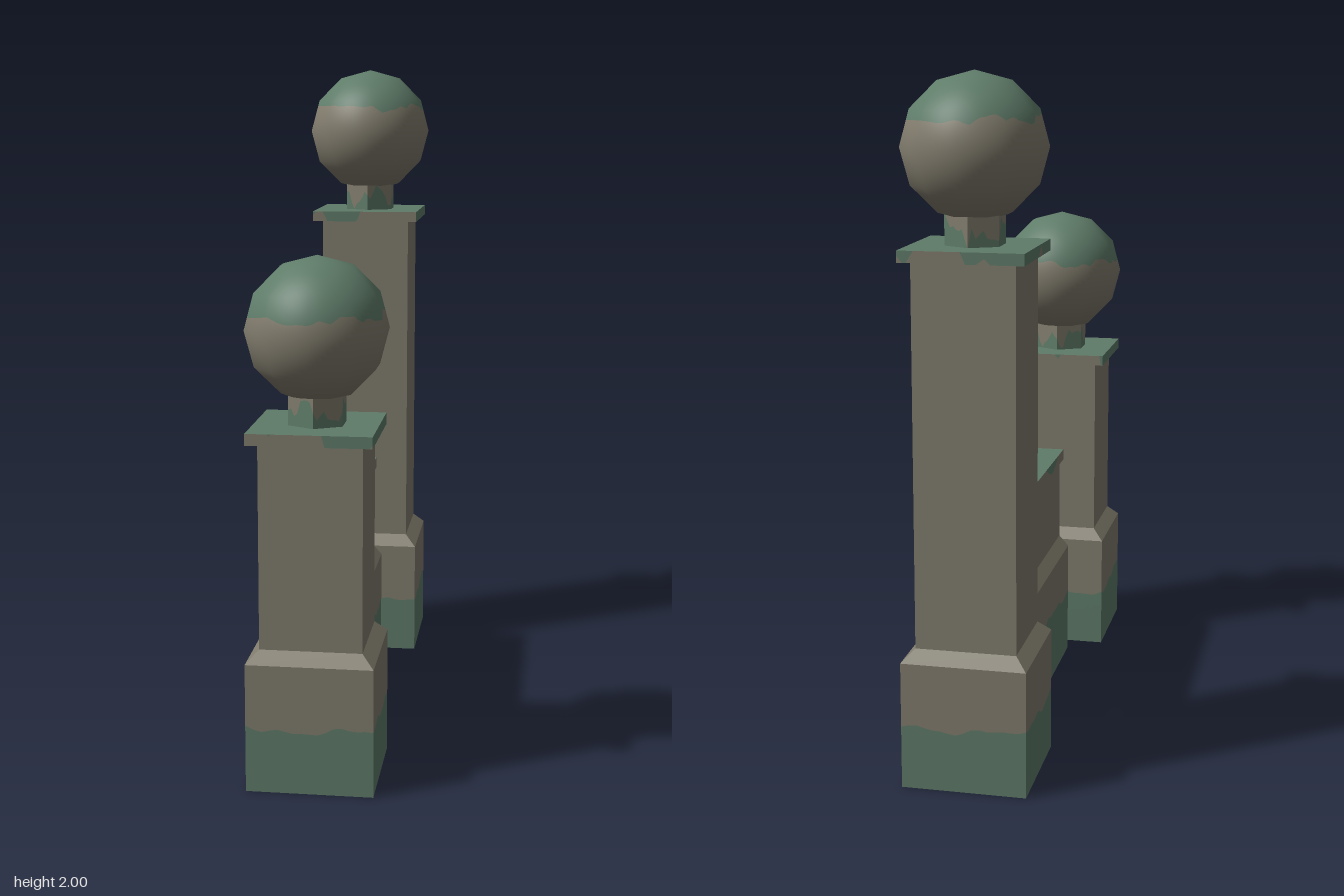
import * as THREE from 'three';

const stone = new THREE.MeshStandardMaterial({ name: 'stone', color: 0x817c6d });
const moss = new THREE.MeshStandardMaterial({ name: 'moss', color: 0x5f7c69 });

// Uneven edge for the moss
const wave = (t) => 0.5 * Math.sin(t * 17 + 1) + 0.3 * Math.sin(t * 41) + 0.2 * Math.sin(t * 73 + 2);

const mid = (a, b, t = 0.5) => ({ p: a.p.clone().lerp(b.p, t), n: a.n.clone().lerp(b.n, t).normalize() });

// Cuts every triangle where field(p, n) changes sign: positive is moss, negative is stone
function mossyMesh(name, geometry, field, levels = 3) {
  const g = geometry.index ? geometry.toNonIndexed() : geometry;
  const P = g.attributes.position, N = g.attributes.normal;
  const out = [[], []];
  const emit = (poly, side) => {
    for (let i = 1; i + 1 < poly.length; i++) out[side].push(poly[0], poly[i], poly[i + 1]);
  };
  const cut = (tri) => {
    const d = tri.map((v) => field(v.p, v.n));
    const polys = [[], []];
    tri.forEach((v, i) => {
      const j = (i + 1) % 3;
      polys[d[i] > 0 ? 1 : 0].push(v);
      if (d[i] > 0 !== d[j] > 0) {
        const c = mid(v, tri[j], d[i] / (d[i] - d[j]));
        polys[0].push(c);
        polys[1].push(c);
      }
    });
    polys.forEach(emit);
  };
  const divide = (a, b, c, level) => {
    if (level === 0) return cut([a, b, c]);
    const ab = mid(a, b), bc = mid(b, c), ca = mid(c, a);
    [[a, ab, ca], [ab, b, bc], [ca, bc, c], [ab, bc, ca]].forEach((t) => divide(...t, level - 1));
  };
  const vertex = (i) => ({
    p: new THREE.Vector3().fromBufferAttribute(P, i),
    n: new THREE.Vector3().fromBufferAttribute(N, i),
  });
  for (let i = 0; i < P.count; i += 3) divide(vertex(i), vertex(i + 1), vertex(i + 2), levels);

  const all = [...out[0], ...out[1]];
  const result = new THREE.BufferGeometry();
  result.setAttribute('position', new THREE.Float32BufferAttribute(all.flatMap((v) => v.p.toArray()), 3));
  result.setAttribute('normal', new THREE.Float32BufferAttribute(all.flatMap((v) => v.n.toArray()), 3));
  result.addGroup(0, out[0].length, 0);
  result.addGroup(out[0].length, out[1].length, 1);
  const mesh = new THREE.Mesh(result, [stone, moss]);
  mesh.name = name;
  return mesh;
}

// Box from y0 to y1 whose top may be narrower than its bottom
function block(hx, hz, y0, y1, topX = hx, topZ = hz) {
  const g = new THREE.BoxGeometry(2 * hx, y1 - y0, 2 * hz).toNonIndexed();
  g.translate(0, (y0 + y1) / 2, 0);
  const p = g.attributes.position;
  for (let i = 0; i < p.count; i++) {
    if (p.getY(i) > (y0 + y1) / 2) {
      p.setX(i, Math.sign(p.getX(i)) * topX);
      p.setZ(i, Math.sign(p.getZ(i)) * topZ);
    }
  }
  g.computeVertexNormals();
  return g;
}

function stoneMesh(name, geometry) {
  const mesh = new THREE.Mesh(geometry, stone);
  mesh.name = name;
  return mesh;
}

// Moss creeping up from the ground, none underneath
const groundMoss = (height, seed) => (p, n) =>
  n.y < -0.5 ? -1 : height + 0.018 * wave(p.x + p.z * 0.9 + seed) - p.y;

function createPost(name, z, shaftTop, ballMoss, seed) {
  const post = new THREE.Group();
  post.name = name;
  post.position.z = z;
  const capTop = shaftTop + 0.033;
  const ballY = capTop + 0.265;

  post.add(mossyMesh('postBase', block(0.18, 0.18, 0, 0.37), groundMoss(0.185, seed), 4));
  post.add(stoneMesh('postBevel', block(0.18, 0.18, 0.37, 0.405, 0.145, 0.145)));
  post.add(stoneMesh('postShaft', block(0.145, 0.145, 0.405, shaftTop)));

  // Cap slab: mossy top and sides, patches on front and back
  post.add(mossyMesh('postCap', block(0.175, 0.175, shaftTop, capTop), (p, n) => {
    if (n.y > 0.5) return 1;
    if (n.y < -0.5) return -1;
    const bias = Math.abs(n.x) > 0.5 ? 0.6 : -0.25;
    return bias + wave(p.x + p.z + seed) + (p.y - shaftTop) * 8;
  }, 4));

  // Six-sided neck with a corner to the front
  const neck = new THREE.CylinderGeometry(0.088, 0.088, 0.1, 6).toNonIndexed();
  neck.translate(0, capTop + 0.05, 0);
  neck.computeVertexNormals();
  post.add(mossyMesh('postNeck', neck, (p) =>
    capTop + 0.045 + 0.05 * wave(Math.atan2(p.x, p.z) * 0.2 + seed) - p.y));

  // Faceted outline, smooth shading
  const ball = new THREE.SphereGeometry(0.205, 10, 6);
  ball.rotateY(Math.PI / 2);
  ball.translate(0, ballY, 0);
  post.add(mossyMesh('postBall', ball, (p) =>
    p.y - ballY - ballMoss - 0.018 * wave((p.x - p.z) * 1.3 + seed)));
  return post;
}

function createWall() {
  const wall = new THREE.Group();
  wall.name = 'wall';
  wall.position.z = 0.015;
  const hz = 0.365;
  wall.add(mossyMesh('wallBase', block(0.074, hz, 0, 0.37), groundMoss(0.212, 0.4), 5));
  wall.add(stoneMesh('wallBevel', block(0.074, hz, 0.37, 0.405, 0.043, hz)));
  wall.add(stoneMesh('wallPanel', block(0.043, hz, 0.405, 0.675)));
  // Coping: mossy top with moss hanging over the sides in places
  wall.add(mossyMesh('wallCoping', block(0.056, hz, 0.675, 0.71), (p, n) => {
    if (n.y > 0.5) return 1;
    if (n.y < -0.5) return -1;
    return p.y - 0.71 + 0.035 * Math.cos((p.z - 0.17) * 16);
  }, 5));
  return wall;
}

export function createModel() {
  const model = new THREE.Group();
  model.name = 'gatePosts';
  model.add(createPost('shortPost', 0.632, 0.99, 0.045, 0.1));
  model.add(createPost('tallPost', -0.632, 1.497, 0.08, 0.7));
  model.add(createWall());
  return model;
}
